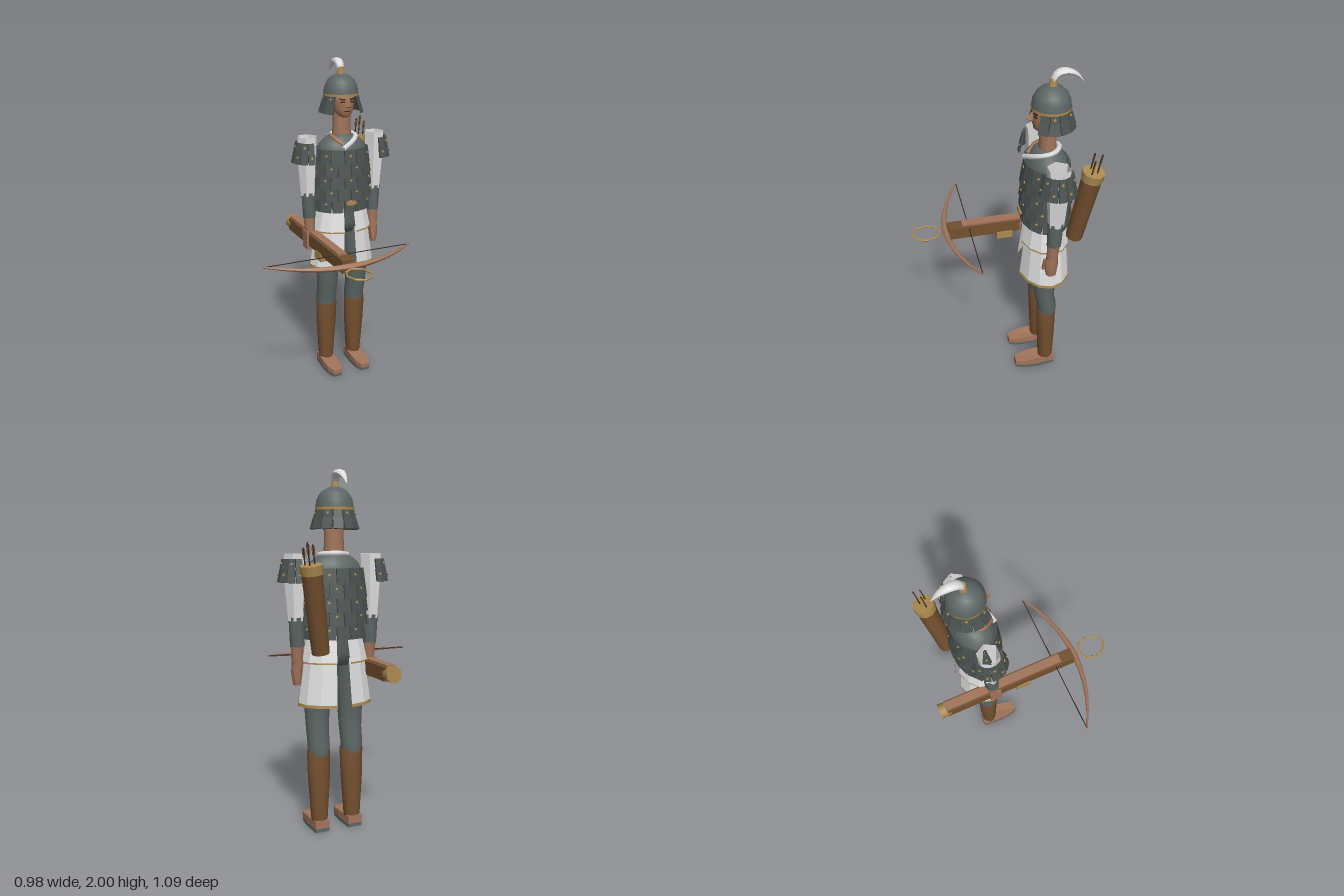
import * as THREE from 'three';

const mat = (name, color, double) => {
  const m = new THREE.MeshStandardMaterial({ color });
  m.name = name;
  if (double) m.side = THREE.DoubleSide;
  return m;
};

export function createModel() {
  const M = {
    cloth: mat('slateCloth', 0x5c6664),
    plate: mat('darkPlate', 0x4b5351),
    white: mat('whiteCloth', 0xdedede, true),
    leather: mat('brownLeather', 0x74502f),
    tan: mat('tan', 0xa1745a),
    gold: mat('brass', 0xab8a50, true),
    dark: mat('darkBrown', 0x3b2b22),
  };
  const root = new THREE.Group();
  root.name = 'crossbowSoldier';
  const body = new THREE.Group();
  body.name = 'soldier';
  body.position.set(0.165, 0, -0.21);
  root.add(body);

  const add = (parent, name, geo, material, x = 0, y = 0, z = 0) => {
    const m = new THREE.Mesh(geo, material);
    m.name = name;
    m.position.set(x, y, z);
    parent.add(m);
    return m;
  };
  const flat = (g) => {
    const f = g.index ? g.toNonIndexed() : g;
    f.computeVertexNormals();
    return f;
  };
  // Skin over horizontal ellipses [x, y, z, rx, rz], listed from top to bottom
  const loft = (rows, n, a0 = 0, arc = Math.PI * 2) => {
    const closed = arc > 6.28, cols = closed ? n : n + 1, pos = [], idx = [];
    for (const [x, y, z, rx, rz] of rows)
      for (let j = 0; j < cols; j++) {
        const a = a0 + arc * j / n;
        pos.push(x + rx * Math.sin(a), y, z + rz * Math.cos(a));
      }
    for (let i = 0; i < rows.length - 1; i++)
      for (let j = 0; j < n; j++) {
        const k = (j + 1) % cols, p = i * cols, q = p + cols;
        idx.push(p + j, q + j, q + k, p + j, q + k, p + k);
      }
    const g = new THREE.BufferGeometry();
    g.setAttribute('position', new THREE.Float32BufferAttribute(pos, 3));
    g.setIndex(idx);
    g.computeVertexNormals();
    return g;
  };
  // Close both ends of a loft with crisp flat caps
  const capped = (rows) => {
    const a = rows[0], b = rows[rows.length - 1];
    return [[a[0], a[1], a[2], 0, 0], a, ...rows, b, [b[0], b[1], b[2], 0, 0]];
  };
  // Row of overlapping armour plates around an ellipse
  const plateRow = (parent, name, c, rx, rz, h, n, a0, arc, tilt, studs) => {
    const step = arc / n;
    for (let i = 0; i < n; i++) {
      const a = a0 + step * (i + 0.5);
      const w = Math.hypot(rx * Math.cos(a), rz * Math.sin(a)) * step * 0.93;
      const g = new THREE.Group();
      g.name = name;
      g.position.set(c[0] + rx * Math.sin(a), c[1], c[2] + rz * Math.cos(a));
      g.rotation.set(-tilt, Math.atan2(Math.sin(a) / rx, Math.cos(a) / rz), 0, 'YXZ');
      add(g, name + 'Face', new THREE.BoxGeometry(w, h, 0.012), M.plate);
      if (studs && (i + studs) % 2 === 0)
        add(g, 'stud', new THREE.BoxGeometry(0.012, 0.012, 0.006), M.gold, 0, h * 0.1, 0.008).rotation.z = Math.PI / 4;
      parent.add(g);
    }
  };
  const tube = (parent, name, pts, r, material) => add(parent, name,
    new THREE.TubeGeometry(new THREE.CatmullRomCurve3(pts.map((p) => new THREE.Vector3(...p))), 16, r, 6), material);

  // Head, neck and face
  add(body, 'neck', loft([[0, 1.72, 0, 0.052, 0.048], [0, 1.6, 0, 0.056, 0.048], [0, 1.53, 0, 0.063, 0.052]], 10), M.tan);
  add(body, 'head', loft([[0, 1.85, -0.01, 0.05, 0.06], [0, 1.8, 0, 0.074, 0.086], [0, 1.75, 0.002, 0.072, 0.086],
    [0, 1.71, 0.012, 0.062, 0.072], [0, 1.68, 0.03, 0.042, 0.05], [0, 1.667, 0.035, 0.025, 0.03], [0, 1.667, 0.035, 0, 0]], 12), M.tan);
  add(body, 'nose', flat(loft(capped([[0, 1.775, 0.08, 0.007, 0.01], [0, 1.735, 0.095, 0.014, 0.028], [0, 1.728, 0.088, 0.011, 0.018]]), 4)), M.tan);
  for (const s of [-1, 1]) {
    const brow = add(body, 'brow', new THREE.BoxGeometry(0.034, 0.008, 0.009), M.dark, s * 0.031, 1.775, 0.08);
    brow.rotation.set(0, s * 0.35, s * 0.1);
    add(body, 'eye', new THREE.BoxGeometry(0.024, 0.009, 0.009), M.dark, s * 0.03, 1.759, 0.079).rotation.y = s * 0.35;
  }
  add(body, 'mouth', new THREE.BoxGeometry(0.034, 0.006, 0.009), M.dark, 0, 1.705, 0.079);

  // Helmet with brass rim, hanging neck guard and plume
  const dome = [[0.104, 1.8], [0.1, 1.84], [0.085, 1.872], [0.06, 1.897], [0.03, 1.912], [0, 1.915]];
  add(body, 'helmetDome', new THREE.LatheGeometry(dome.map((p) => new THREE.Vector2(...p)), 20), M.cloth, 0, 0, -0.012);
  add(body, 'helmetRim', new THREE.CylinderGeometry(0.107, 0.107, 0.014, 20, 1, true), M.gold, 0, 1.797, -0.012);
  plateRow(body, 'neckGuardPlate', [0, 1.765, -0.012], 0.104, 0.104, 0.055, 10, 0.75, Math.PI * 2 - 1.5, 0.25, 1);
  plateRow(body, 'neckGuardPlate', [0, 1.718, -0.012], 0.119, 0.119, 0.06, 10, 0.75, Math.PI * 2 - 1.5, 0.3, 0);
  add(body, 'plumeHolder', new THREE.CylinderGeometry(0.018, 0.025, 0.045, 8), M.gold, 0, 1.93, -0.015);
  // Plume swept backwards, thick in the middle and pointed at the tip
  const plumePath = new THREE.CatmullRomCurve3([[0, 1.94, -0.015], [0, 1.975, -0.04], [0, 1.982, -0.085], [0, 1.962, -0.135], [0, 1.92, -0.178]]
    .map((p) => new THREE.Vector3(...p)));
  const plume = new THREE.TubeGeometry(plumePath, 12, 1, 8);
  const pp = plume.attributes.position, v = new THREE.Vector3();
  for (let i = 0; i < pp.count; i++) {
    const t = Math.floor(i / 9) / 12, c = plumePath.getPointAt(t);
    v.fromBufferAttribute(pp, i).sub(c).multiplyScalar(0.002 + 0.026 * Math.sin(Math.PI * Math.pow(t * 0.82 + 0.18, 0.8)));
    pp.setXYZ(i, c.x + v.x, c.y + v.y * 0.7, c.z + v.z * 0.7);
  }
  plume.computeVertexNormals();
  add(body, 'plume', plume, M.white);

  // Torso, collar and rows of body armour
  add(body, 'torso', loft([[0, 1.565, 0, 0, 0], [0, 1.562, 0, 0.06, 0.052], [0, 1.545, 0, 0.1, 0.075], [0, 1.51, 0, 0.14, 0.1],
    [0, 1.46, 0, 0.16, 0.118], [0, 1.3, 0, 0.168, 0.124], [0, 1.12, 0, 0.15, 0.11], [0, 1.02, 0, 0.15, 0.1], [0, 0.95, 0, 0.12, 0.075], [0, 0.95, 0, 0, 0]], 20), M.cloth);
  tube(body, 'whiteLapel', [[-0.07, 1.555, -0.02], [0, 1.56, -0.065], [0.07, 1.557, -0.02], [0.075, 1.548, 0.04],
    [0.03, 1.525, 0.088], [-0.04, 1.49, 0.116]], 0.015, M.white);
  tube(body, 'tanLapel', [[-0.07, 1.555, -0.01], [-0.07, 1.545, 0.045], [-0.03, 1.51, 0.1]], 0.014, M.tan);
  for (let r = 0; r < 5; r++)
    plateRow(body, 'bodyPlate', [0, 1.438 - r * 0.074, 0], 0.166 + 0.015 * Math.sin(r * 0.7), 0.122 + 0.012 * Math.sin(r * 0.7),
      0.088, 14, (r % 2 ? 0 : 0.5) * Math.PI / 7, Math.PI * 2, 0.13, 1 + r % 2);
  add(body, 'beltBuckle', new THREE.CylinderGeometry(0.036, 0.036, 0.012, 8).rotateX(Math.PI / 2).scale(1, 0.45, 1), M.gold, 0, 1.162, 0.147);

  for (const s of [-1, 1]) {
    // Two-tier split skirt with brass hems
    const a0 = s > 0 ? 0.2 : Math.PI + 0.2, arc = Math.PI - 0.4;
    add(body, 'upperSkirt', flat(loft([[0, 1.12, 0, 0.16, 0.112], [0, 0.972, 0, 0.193, 0.142]], 6, a0, arc)), M.white);
    add(body, 'upperHem', loft([[0, 0.976, 0, 0.195, 0.144], [0, 0.967, 0, 0.196, 0.145]], 6, a0, arc), M.gold);
    add(body, 'lowerSkirt', flat(loft([[0, 1.0, 0, 0.175, 0.125], [0, 0.742, 0, 0.213, 0.153]], 6, a0, arc)), M.white);
    add(body, 'lowerHem', loft([[0, 0.745, 0, 0.214, 0.154], [0, 0.728, 0, 0.216, 0.156]], 6, a0, arc), M.gold);

    // Legs, boots and shoes
    const x = s * 0.1;
    add(body, 'trouserLeg', loft([[s * 0.085, 1.03, 0, 0.07, 0.085], [s * 0.09, 0.9, 0.005, 0.077, 0.08], [x, 0.72, 0.015, 0.073, 0.069],
      [x, 0.58, 0.008, 0.066, 0.06], [x, 0.5, -0.01, 0.064, 0.059], [x, 0.44, -0.01, 0.062, 0.056]], 12), M.cloth);
    add(body, 'boot', loft([[x, 0.462, -0.005, 0.055, 0.05], [x, 0.462, -0.005, 0.068, 0.06], [x, 0.3, -0.01, 0.064, 0.056], [x, 0.05, -0.015, 0.046, 0.047]], 12), M.leather);
    const sole = new THREE.Shape([[-0.042, -0.065], [0.042, -0.065], [0.05, 0.05], [0.046, 0.13], [0.028, 0.182], [-0.028, 0.182], [-0.046, 0.13], [-0.05, 0.05]]
      .map(([u, w]) => new THREE.Vector2(u, -w)));
    const slab = (h) => new THREE.ExtrudeGeometry(sole, { depth: h, bevelEnabled: false }).rotateX(-Math.PI / 2);
    add(body, 'sole', slab(0.02), M.cloth, x);
    const upper = slab(0.046), up = upper.attributes.position;
    for (let i = 0; i < up.count; i++) // slope the shoe down to the toe
      if (up.getY(i) > 0.02) up.setY(i, 0.046 - 0.12 * Math.max(0, up.getZ(i) - 0.02));
    upper.computeVertexNormals();
    add(body, 'shoe', upper, M.tan, x, 0.02);

    // Arms: open six-sided sleeve, cuff, wrist and hand
    add(body, 'sleeve', flat(loft([[s * 0.224, 1.56, 0, 0.063, 0.064], [s * 0.225, 1.4, 0, 0.06, 0.058], [s * 0.222, 1.2, 0, 0.046, 0.046]], 6, Math.PI / 2)), M.white);
    add(body, 'forearm', loft([[s * 0.222, 1.22, 0, 0.044, 0.046], [s * 0.217, 1.06, 0.002, 0.041, 0.042]], 8), M.cloth);
    add(body, 'wrist', loft(capped([[s * 0.217, 1.065, 0.002, 0.038, 0.038], [s * 0.216, 0.97, 0.008, 0.033, 0.034], [s * 0.216, 0.95, 0.01, 0.034, 0.037]]), 8), M.tan);
    if (s > 0) {
      add(body, 'hand', loft(capped([[0.216, 0.96, 0.01, 0.033, 0.037], [0.218, 0.91, 0.013, 0.032, 0.04], [0.218, 0.845, 0.01, 0.022, 0.03]]), 8), M.tan);
      add(body, 'thumb', new THREE.BoxGeometry(0.02, 0.065, 0.02), M.tan, 0.2, 0.91, 0.045).rotation.x = -0.15;
    } else {
      add(body, 'grippingHand', new THREE.BoxGeometry(0.012, 0.11, 0.07), M.tan, -0.245, 0.92, 0.01);
      for (let f = 0; f < 4; f++)
        add(body, 'finger', new THREE.BoxGeometry(0.085, 0.022, 0.017), M.tan, -0.208, 0.873, -0.018 + f * 0.019);
      add(body, 'thumb', new THREE.BoxGeometry(0.018, 0.08, 0.02), M.tan, -0.158, 0.95, 0.01);
    }

    // Shoulder guards around the outer half of each sleeve
    for (let r = 0; r < 2; r++)
      plateRow(body, 'shoulderPlate', [s * 0.22, 1.498 - r * 0.058, 0], 0.076 + r * 0.012, 0.08 + r * 0.012, 0.066, 7,
        s > 0 ? -0.1 : Math.PI - 0.1, Math.PI + 0.2, 0.2, 1 + r);
  }

  // Quiver slung behind the left shoulder, with arrows
  const quiver = new THREE.Group();
  quiver.name = 'quiver';
  const top = new THREE.Vector3(0.372, 1.5, -0.405), low = new THREE.Vector3(0.3, 1.035, -0.35);
  quiver.position.copy(low);
  quiver.quaternion.setFromUnitVectors(new THREE.Vector3(0, 1, 0), top.clone().sub(low).normalize());
  root.add(quiver);
  add(quiver, 'quiverBody', new THREE.CylinderGeometry(0.056, 0.048, 0.45, 10), M.leather, 0, 0.225);
  add(quiver, 'quiverRim', new THREE.CylinderGeometry(0.061, 0.06, 0.05, 10), M.gold, 0, 0.452);
  for (const [ax, az, h] of [[-0.025, 0.01, 0.1], [0.012, -0.015, 0.12], [0.025, 0.02, 0.09]]) {
    add(quiver, 'arrow', new THREE.CylinderGeometry(0.004, 0.004, h, 5), M.dark, ax, 0.477 + h / 2, az);
    add(quiver, 'fletching', new THREE.BoxGeometry(0.016, h * 0.45, 0.004), M.leather, ax, 0.477 + h * 0.7, az);
  }

  // Crossbow held level at the right hip
  const bow = new THREE.Group();
  bow.name = 'crossbow';
  bow.position.set(-0.037, 0.93, 0);
  root.add(bow);
  add(bow, 'stock', new THREE.BoxGeometry(0.074, 0.076, 0.83), M.leather, 0, -0.005, -0.09);
  add(bow, 'rail', new THREE.BoxGeometry(0.052, 0.014, 0.75), M.tan, 0, 0.038, -0.135);
  add(bow, 'buttCap', new THREE.CylinderGeometry(0.04, 0.047, 0.065, 8).rotateY(Math.PI / 8).rotateX(Math.PI / 2), M.gold, 0, -0.003, -0.515);
  add(bow, 'triggerBox', new THREE.BoxGeometry(0.086, 0.046, 0.095), M.gold, 0, -0.057, -0.015);
  const prod = new THREE.CylinderGeometry(1, 1, 2, 8, 10), bp = prod.attributes.position;
  for (let i = 0; i < bp.count; i++) {
    const t = bp.getY(i), r = 0.02 * (1 - 0.72 * Math.abs(t));
    bp.setXYZ(i, -0.457 * t, 0.02 * t * t + bp.getX(i) * r, 0.34 - 0.14 * t * t + bp.getZ(i) * r);
  }
  prod.rotateX(0);
  prod.computeVertexNormals();
  add(bow, 'bowArms', prod, M.tan);
  add(bow, 'bowString', new THREE.CylinderGeometry(0.003, 0.003, 0.91, 5).rotateZ(Math.PI / 2), M.dark, 0, 0.02, 0.2);
  add(bow, 'stirrup', flat(new THREE.TorusGeometry(0.07, 0.006, 6, 8).rotateX(Math.PI / 2).scale(1, 1, 1.18)), M.gold, 0, 0, 0.455);
  return root;
}
